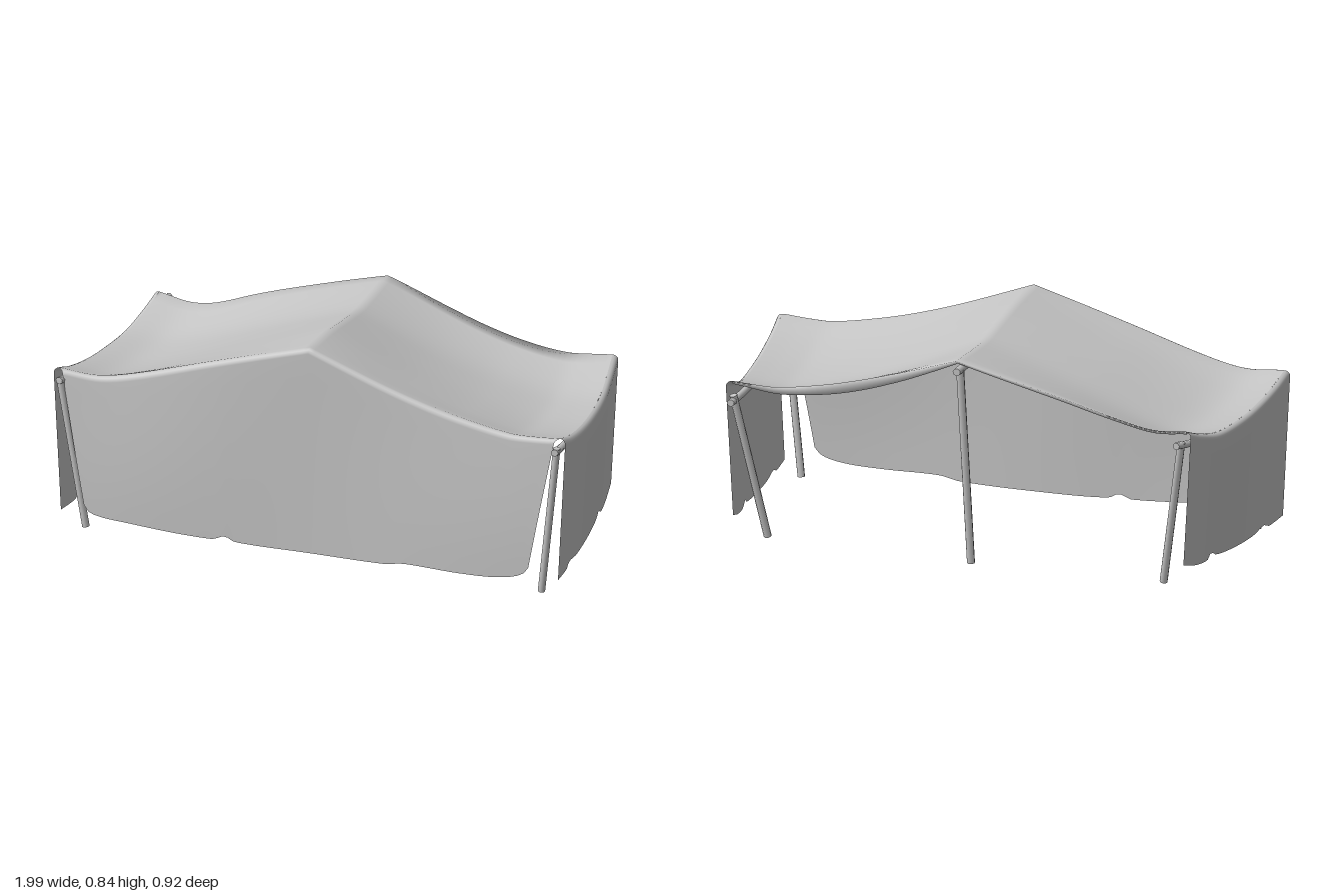
import * as THREE from 'three';

// Smooth interpolation through [x, y] pairs
function along(points, x) {
  const n = points.length - 1;
  if (x <= points[0][0]) return points[0][1];
  if (x >= points[n][0]) return points[n][1];
  let i = 0;
  while (x > points[i + 1][0]) i++;
  const slope = (a, b) => (points[b][1] - points[a][1]) / (points[b][0] - points[a][0]);
  const w = points[i + 1][0] - points[i][0];
  const t = (x - points[i][0]) / w;
  const m0 = slope(Math.max(i - 1, 0), i + 1) * w;
  const m1 = slope(i, Math.min(i + 2, n)) * w;
  const t2 = t * t, t3 = t2 * t;
  return (2 * t3 - 3 * t2 + 1) * points[i][1] + (t3 - 2 * t2 + t) * m0
    + (3 * t2 - 2 * t3) * points[i + 1][1] + (t3 - t2) * m1;
}

// Shape of the canvas
const RIDGE = [[-0.41, 0.802], [-0.13, 0.79], [0, 0.805], [0.2, 0.83], [0.41, 0.842]];
const EAVE = [[-0.4, 0.622], [-0.3, 0.585], [-0.17, 0.552], [0, 0.548], [0.15, 0.56], [0.3, 0.588], [0.4, 0.62]];
const SLOPE_LEFT = [[0, 1], [0.28, 0.54], [0.45, 0.3], [0.6, 0.13], [0.8, -0.03], [0.9, -0.03], [1, 0]];
const SLOPE_RIGHT = [[0, 1], [0.2, 0.75], [0.4, 0.49], [0.7, 0.09], [0.85, -0.04], [1, 0]];
const HALF_WIDTH = [[-0.41, 0.9], [-0.2, 0.933], [0, 0.958], [0.41, 0.997]];
const BACK_EDGE = [[-1, -0.395], [-0.75, -0.37], [-0.55, -0.395], [0, -0.42], [0.45, -0.39], [0.7, -0.385], [1, -0.405]];
const FRONT_HEM = [[-0.87, 0.11], [-0.84, 0.078], [-0.7, 0.062], [-0.37, 0.043], [-0.32, 0.06], [-0.28, 0.042],
  [0, 0.037], [0.3, 0.04], [0.38, 0.053], [0.6, 0.05], [0.75, 0.056], [0.84, 0.078], [0.87, 0.11]];
const SIDE_HEM = [[-0.41, 0.11], [-0.3, 0.08], [-0.21, 0.075], [-0.19, 0.095], [-0.15, 0.076], [0, 0.06],
  [0.15, 0.057], [0.25, 0.07], [0.28, 0.055], [0.41, 0.06]];
const FOLD = 0.02, FRONT = 0.404;

const width = (z) => along(HALF_WIDTH, z) - FOLD;

function roofHeight(t, z) {
  const eave = along(EAVE, z);
  const p = along(t > 0 ? SLOPE_LEFT : SLOPE_RIGHT, Math.abs(t));
  return eave + (along(RIDGE, z) - eave) * p;
}

// Grid sheet whose points follow point(column 0..1, row index)
function sheet(columns, rows, point) {
  const geometry = new THREE.PlaneGeometry(1, 1, columns, rows);
  const pos = geometry.attributes.position;
  for (let j = 0, k = 0; j <= rows; j++) {
    for (let i = 0; i <= columns; i++, k++) pos.setXYZ(k, ...point(i / columns, j));
  }
  geometry.computeVertexNormals();
  return geometry;
}

// Back hem, roof, rounded front edge and front wall in one cloth
const ROOF_ROWS = 18, FOLD_ROWS = 4, WALL_ROWS = 9;
function roofPoint(u, row) {
  const t = u * 2 - 1;
  const back = along(BACK_EDGE, t);
  if (row === 0) {
    const swell = Math.sin(Math.PI * Math.abs(t));
    const drop = 0.014 + (t > 0 ? 0.035 : 0.003) * swell;
    return [t * width(back), roofHeight(t, back) - drop, back + 0.012 + (t > 0 ? 0.02 : 0) * swell];
  }
  if (row <= ROOF_ROWS) {
    const z = THREE.MathUtils.lerp(back, FRONT, (row - 1) / (ROOF_ROWS - 1));
    return [t * width(z), roofHeight(t, z), z];
  }
  const top = roofHeight(t, FRONT);
  const turn = Math.min((row - ROOF_ROWS) / FOLD_ROWS, 1) * Math.PI / 2;
  const s = Math.max(row - ROOF_ROWS - FOLD_ROWS, 0) / WALL_ROWS;
  const x = t * (width(FRONT) - 0.02 * Math.sin(turn) - 0.091 * s);
  const y0 = top - FOLD * (1 - Math.cos(turn));
  const bulge = 0.008 * s + 0.02 * Math.sin(Math.PI * 0.77 * Math.abs(x)) ** 2 * Math.sin(Math.PI * 0.6 * s);
  const hem = along(FRONT_HEM, t * 0.867);
  return [x, THREE.MathUtils.lerp(y0, hem, s), FRONT + FOLD * Math.sin(turn) + bulge];
}

// Side wall rolling over the eave and hanging down
function sidePoint(side, u, row) {
  const z = THREE.MathUtils.lerp(along(BACK_EDGE, side), FRONT, u);
  const turn = Math.min(row / FOLD_ROWS, 1) * Math.PI / 2;
  const s = Math.max(row - FOLD_ROWS, 0) / WALL_ROWS;
  const x = width(z) + FOLD * Math.sin(turn) - 0.028 * s;
  const y0 = roofHeight(side, z) - FOLD * (1 - Math.cos(turn));
  const flare = 0.006 * Math.sin(turn) * (u * 2 - 1);
  return [side * x, THREE.MathUtils.lerp(y0, along(SIDE_HEM, z), s), z + flare];
}

// Seven-sided pole between two points, optionally sagging
function pole(a, b, radius, sag = 0) {
  const from = new THREE.Vector3(...a), to = new THREE.Vector3(...b);
  const dir = to.clone().sub(from);
  const length = dir.length();
  const geometry = new THREE.CylinderGeometry(radius, radius, length, 7, sag ? 10 : 1);
  const up = new THREE.Vector3(0, 1, 0);
  geometry.applyQuaternion(new THREE.Quaternion().setFromUnitVectors(up, dir.clone().normalize()));
  geometry.translate(...from.clone().add(to).multiplyScalar(0.5).toArray());
  const pos = geometry.attributes.position;
  for (let i = 0; sag && i < pos.count; i++) {
    const t = (pos.getZ(i) - from.z) / dir.z;
    pos.setY(i, pos.getY(i) - sag * Math.sin(Math.PI * THREE.MathUtils.clamp(t, 0, 1)));
  }
  return geometry;
}

export function createModel() {
  const group = new THREE.Group();
  const canvas = new THREE.MeshStandardMaterial({ color: 0xc4c4c4, side: THREE.DoubleSide });
  canvas.name = 'grey canvas';
  const wood = new THREE.MeshStandardMaterial({ color: 0xc5c5c5 });
  wood.name = 'grey wood';
  const add = (name, geometry, material) => {
    const mesh = new THREE.Mesh(geometry, material);
    mesh.name = name;
    group.add(mesh);
  };

  // Canvas
  add('roofAndFrontWall', sheet(90, ROOF_ROWS + FOLD_ROWS + WALL_ROWS, roofPoint), canvas);
  for (const side of [1, -1]) {
    // Columns run the other way on the right so both outer faces point outward
    add(side > 0 ? 'leftWall' : 'rightWall',
      sheet(40, FOLD_ROWS + WALL_ROWS, (u, row) => sidePoint(side, side > 0 ? 1 - u : u, row)), canvas);
  }

  // Beams along the ridge and eaves
  add('ridgeBeam', pole([-0.01, 0.768, -0.45], [0, 0.803, 0.4], 0.015, 0.018), wood);
  add('leftEaveBeam', pole([0.865, 0.555, -0.46], [0.972, 0.582, 0.455], 0.014, 0.045), wood);
  add('rightEaveBeam', pole([-0.865, 0.58, -0.455], [-0.963, 0.585, 0.445], 0.014, 0.06), wood);

  // Upright poles
  add('frontLeftPole', pole([0.9, 0.004, 0.4], [0.97, 0.59, 0.428], 0.014), wood);
  add('frontRightPole', pole([-0.875, 0.004, 0.4], [-0.966, 0.59, 0.428], 0.014), wood);
  add('backLeftPole', pole([0.778, 0.004, -0.3], [0.872, 0.57, -0.41], 0.015), wood);
  add('backRightPole', pole([-0.765, 0.004, -0.31], [-0.87, 0.58, -0.41], 0.015), wood);
  add('backCentrePole', pole([-0.025, 0.002, -0.335], [-0.01, 0.765, -0.41], 0.015), wood);
  return group;
}
